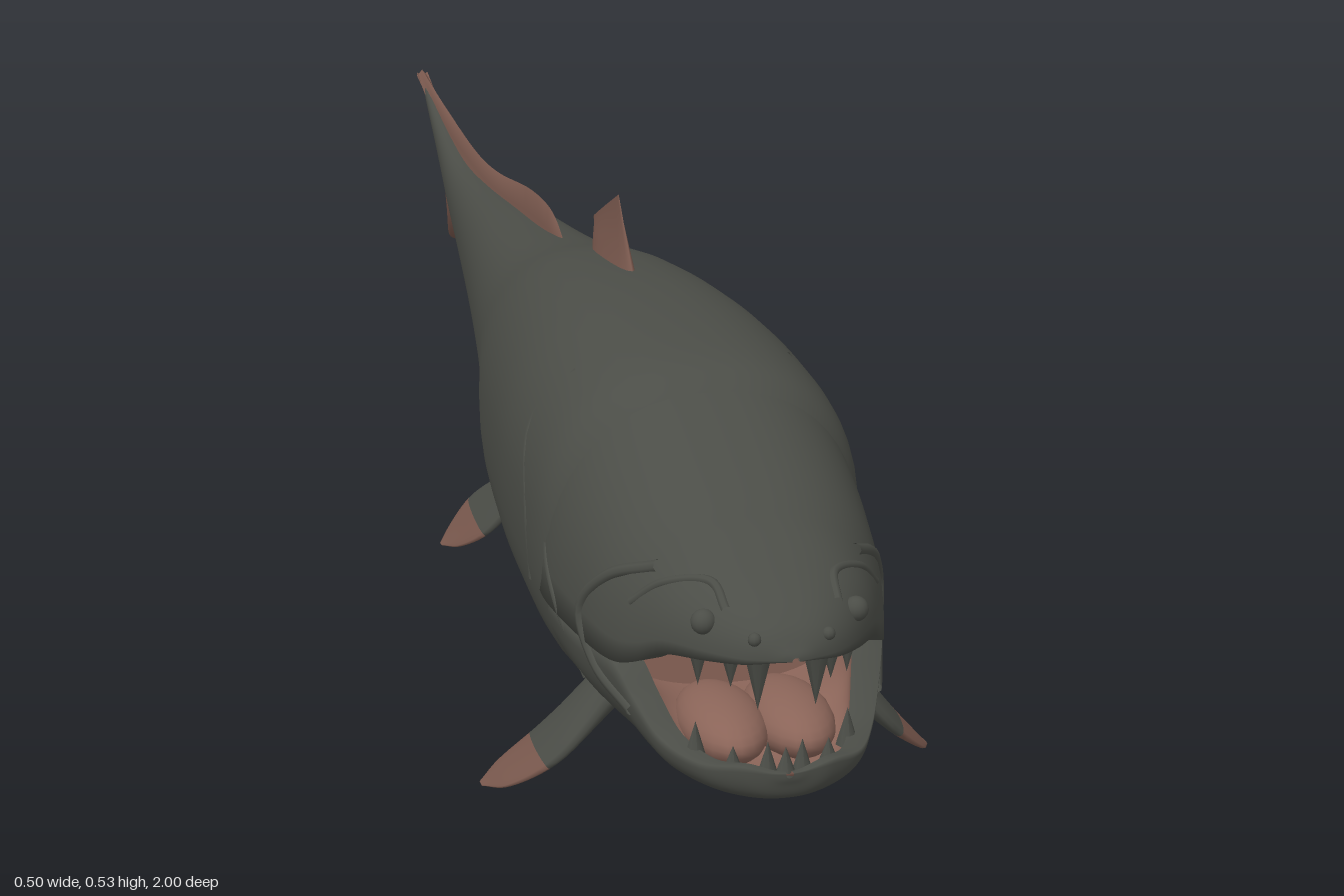
import * as THREE from 'three';

const mat = (name, color) => new THREE.MeshStandardMaterial({ name, color, side: THREE.DoubleSide });
const V = (x, y, z) => new THREE.Vector3(x, y, z);
const P = 0.85; // roundness of all cross-sections
const pw = (v) => Math.sign(v) * Math.abs(v) ** P;

// Smoothly resample a table of rows; the first column is z
function smooth(rows, n) {
  const cols = rows[0].map((_, c) => new THREE.SplineCurve(rows.map((r) => new THREE.Vector2(r[0], r[c]))));
  return Array.from({ length: n + 1 }, (_, i) => cols.map((s, c) => (c ? s.getPoint(i / n).y : s.getPoint(i / n).x)));
}

// Skin a list of rings of points
function loft(rings, closed) {
  const m = rings[0].length, pos = [], idx = [];
  rings.forEach((r) => r.forEach((p) => pos.push(p.x, p.y, p.z)));
  for (let i = 0; i < rings.length - 1; i++) {
    for (let j = 0; j < (closed ? m : m - 1); j++) {
      const a = i * m + j, b = i * m + (j + 1) % m;
      idx.push(a, b, a + m, b, b + m, a + m);
    }
  }
  const g = new THREE.BufferGeometry();
  g.setAttribute('position', new THREE.Float32BufferAttribute(pos, 3));
  g.setIndex(idx);
  g.computeVertexNormals();
  return g;
}

// Half-ring over (dir 1) or under (dir -1) the lip line
function arc(z, lip, h, w, dir, n = 28) {
  return Array.from({ length: n + 1 }, (_, i) => {
    const a = (dir > 0 ? i / n : 1 - i / n) * Math.PI;
    return V(w * pw(Math.cos(a)), lip + dir * h * pw(Math.sin(a)), z);
  });
}

// z, top, bottom, half width
const BODY = [[0.7, 0.39, 0.08, 0.13], [0.66, 0.43, 0.06, 0.16], [0.6, 0.452, 0.056, 0.181], [0.45, 0.46, 0.064, 0.18],
  [0.3, 0.455, 0.063, 0.166], [0.14, 0.435, 0.068, 0.145], [0, 0.402, 0.125, 0.117], [-0.15, 0.378, 0.16, 0.094],
  [-0.31, 0.36, 0.187, 0.072], [-0.5, 0.34, 0.215, 0.048], [-0.65, 0.333, 0.25, 0.032], [-0.8, 0.345, 0.3, 0.018],
  [-0.92, 0.365, 0.345, 0.009], [-1, 0.38, 0.372, 0.002]];
// z, crown or chin height, lip height, half width
const SKULL = [[0.58, 0.446, 0.2, 0.172], [0.65, 0.432, 0.2, 0.176], [0.755, 0.39, 0.2, 0.163], [0.82, 0.362, 0.2, 0.147],
  [0.86, 0.348, 0.212, 0.132], [0.9, 0.33, 0.235, 0.112], [0.95, 0.308, 0.245, 0.08], [0.98, 0.288, 0.25, 0.05],
  [0.995, 0.268, 0.255, 0.02], [0.999, 0.26, 0.256, 0.004]];
const JAW = [[0.62, 0.08, 0.2, 0.17], [0.7, 0.085, 0.2, 0.168], [0.755, 0.083, 0.2, 0.16], [0.82, 0.082, 0.2, 0.145],
  [0.86, 0.082, 0.17, 0.13], [0.9, 0.085, 0.142, 0.112], [0.95, 0.092, 0.135, 0.085], [0.975, 0.1, 0.138, 0.05],
  [0.983, 0.118, 0.132, 0.02], [0.985, 0.125, 0.13, 0.004]];

// Half width of the head or trunk surface at a given height and depth
function surfaceX(y, z) {
  const rows = z < 0.6 ? [...BODY].reverse() : y > 0.2 ? SKULL : JAW;
  const i = Math.max(1, rows.findIndex((r) => r[0] >= z));
  const t = (z - rows[i - 1][0]) / (rows[i][0] - rows[i - 1][0]);
  const [, e, l, w] = rows[i].map((v, c) => THREE.MathUtils.lerp(rows[i - 1][c], v, t));
  const mid = z < 0.6 ? (e + l) / 2 : l;
  const k = Math.min(1, Math.abs((y - mid) / (e - mid)));
  return w * (1 - k ** (2 / P)) ** (P / 2);
}

export function createModel() {
  const group = new THREE.Group();
  const skin = mat('dark skin', 0x4b4d47);
  const fin = mat('fin brown', 0x7a594e);
  const mouth = mat('mouth flesh', 0x8a6458);
  const add = (name, geo, m, parent = group) => {
    const mesh = new THREE.Mesh(geo, m);
    mesh.name = name;
    parent.add(mesh);
    return mesh;
  };

  // Trunk and tail
  add('body', loft(smooth(BODY, 80).reverse().map(([z, t, b, w]) => Array.from({ length: 48 }, (_, i) => {
    const a = (i / 48) * Math.PI * 2;
    return V(w * pw(Math.cos(a)), (t + b) / 2 + (t - b) / 2 * pw(Math.sin(a)), z);
  })), true), skin);

  // Skull and lower jaw: armoured outside with rolled lips, fleshy lining
  for (const [name, rows, dir] of [['skull', SKULL, 1], ['lowerJaw', JAW, -1]]) {
    const secs = smooth(rows, 54);
    const inner = secs.map(([z, e, l, w]) => arc(z - 0.006, l, Math.abs(e - l) * 0.6, w * 0.78, dir));
    const outer = secs.map(([z, e, l, w], i) => [inner[i][0], ...arc(z, l, Math.abs(e - l), w, dir), inner[i][28]]);
    add(name, loft(outer, false), skin);
    add(name + 'Lining', loft(inner, false), mouth);
  }
  const throat = add('throat', new THREE.CircleGeometry(1, 32), mouth);
  throat.scale.set(0.13, 0.116, 1);
  throat.position.set(0, 0.2, 0.745);

  // Curved teeth along a jaw: x, z, root height, tip height, radius
  const tooth = (x, z, y0, y1, r) => {
    const g = new THREE.ConeGeometry(r, Math.abs(y1 - y0), 8);
    const m = add('tooth', g, skin);
    if (y1 < y0) m.rotation.x = Math.PI;
    m.position.set(x, (y0 + y1) / 2, z);
  };
  tooth(0, 0.968, 0.12, 0.152, 0.012);

  for (const s of [1, -1]) {
    tooth(s * 0.03, 0.968, 0.265, 0.195, 0.017);
    tooth(s * 0.052, 0.945, 0.26, 0.212, 0.014);
    tooth(s * 0.078, 0.915, 0.25, 0.205, 0.012);
    tooth(s * 0.018, 0.965, 0.12, 0.158, 0.012);
    tooth(s * 0.05, 0.95, 0.12, 0.15, 0.012);
    tooth(s * 0.08, 0.915, 0.125, 0.165, 0.012);

    // Tongue lobes, eyes, nostrils
    const tongue = add('tongue', new THREE.SphereGeometry(1, 20, 14), mouth);
    tongue.scale.set(0.045, 0.032, 0.085);
    tongue.position.set(s * 0.036, 0.133, 0.85);
    const eye = add('eye', new THREE.SphereGeometry(0.013, 16, 12), skin);
    eye.position.set(s * 0.079, 0.282, 0.938);
    const nostril = add('nostril', new THREE.SphereGeometry(0.007, 10, 8), skin);
    nostril.position.set(s * 0.038, 0.276, 0.981);

    // Raised armour seams lying on the surface
    const seams = {
      browRidge: [[0.295, 0.945], [0.312, 0.91], [0.3, 0.87], [0.27, 0.84]],
      cheekRidge: [[0.31, 0.85], [0.28, 0.79], [0.23, 0.75], [0.18, 0.78], [0.155, 0.85]],
      gillSeam: [[0.4, 0.61], [0.33, 0.62], [0.26, 0.63], [0.21, 0.68], [0.14, 0.72]],
      shoulderSeam: [[0.42, 0.54], [0.36, 0.52], [0.28, 0.57], [0.2, 0.58]],
    };
    for (const [name, pts] of Object.entries(seams)) {
      const path = new THREE.CatmullRomCurve3(pts.map(([y, z]) => V(s * (surfaceX(y, z) - 0.002), y, z)));
      add(name, new THREE.TubeGeometry(path, 32, name === 'cheekRidge' ? 0.007 : 0.005, 8), skin);
    }
  }

  // Lens-section fin between a leading and a trailing edge, with a dark root
  function makeFin(name, lead, trail, thick, split) {
    const A = new THREE.CatmullRomCurve3(lead.map((p) => V(...p)));
    const B = new THREE.CatmullRomCurve3(trail.map((p) => V(...p)));
    const along = A.getPoint(1).sub(A.getPoint(0));
    const n = along.cross(B.getPoint(0).sub(A.getPoint(0))).normalize();
    const N = 20, rings = [];
    for (let i = 0; i <= N; i++) {
      const v = i / N, a = A.getPoint(v), b = B.getPoint(v), t = thick * (1 - v) ** 1.5 + 0.001;
      rings.push(Array.from({ length: 16 }, (_, j) => {
        const q = (j / 16) * Math.PI * 2;
        return a.clone().lerp(b, 0.5 - 0.5 * Math.cos(q)).addScaledVector(n, t * Math.sin(q));
      }));
    }
    const k = Math.round(N * split), g = new THREE.Group();
    g.name = name;
    if (k) add(name + 'Root', loft(rings.slice(0, k + 1), true), skin, g);
    add(name + 'Blade', loft(rings.slice(k), true), fin, g);
    group.add(g);
    return g;
  }
  makeFin('dorsalFin', [[0, 0.43, 0.33], [0, 0.48, 0.285], [0, 0.528, 0.24]],
    [[0, 0.41, 0.125], [0, 0.445, 0.115], [0, 0.468, 0.113]], 0.018, 0.1);
  for (const s of [1, -1]) {
    const side = (pts) => pts.map(([x, y, z]) => [s * x, y, z]);
    makeFin('pectoralFin', side([[0.125, 0.13, 0.755], [0.185, 0.06, 0.75], [0.23, 0.017, 0.71], [0.25, 0, 0.665]]),
      side([[0.125, 0.13, 0.69], [0.185, 0.065, 0.665], [0.23, 0.018, 0.645], [0.25, 0, 0.652]]), 0.018, 0.4);
    makeFin('pelvicFin', side([[0.09, 0.125, 0.125], [0.13, 0.07, 0.1], [0.155, 0.042, 0.06], [0.17, 0.03, 0.02]]),
      side([[0.09, 0.13, 0.05], [0.13, 0.085, 0.005], [0.155, 0.05, 0], [0.17, 0.03, 0.01]]), 0.014, 0.35);
  }

  // Thin fins along the tail: z, buried edge, free edge
  const tailFin = (name, rows) => add(name, loft(smooth(rows, 60).map(([z, y0, y1]) => {
    const ym = (y0 + y1) / 2;
    return [V(0.008, y0, z), V(0.003, ym, z), V(0, y1, z), V(-0.003, ym, z), V(-0.008, y0, z)];
  }), false), fin);
  tailFin('upperTailFin', [[-0.04, 0.37, 0.385], [-0.09, 0.36, 0.405], [-0.15, 0.355, 0.411], [-0.26, 0.34, 0.402],
    [-0.45, 0.325, 0.372], [-0.6, 0.32, 0.362], [-0.8, 0.325, 0.369], [-0.93, 0.36, 0.377], [-1, 0.374, 0.382]]);
  tailFin('lowerTailFin', [[-0.22, 0.19, 0.172], [-0.35, 0.21, 0.178], [-0.5, 0.23, 0.193], [-0.61, 0.26, 0.206],
    [-0.72, 0.3, 0.2], [-0.8, 0.32, 0.187], [-0.815, 0.325, 0.215], [-0.84, 0.33, 0.262], [-0.88, 0.345, 0.305],
    [-0.94, 0.362, 0.345], [-1, 0.378, 0.373]]);
  return group;
}
